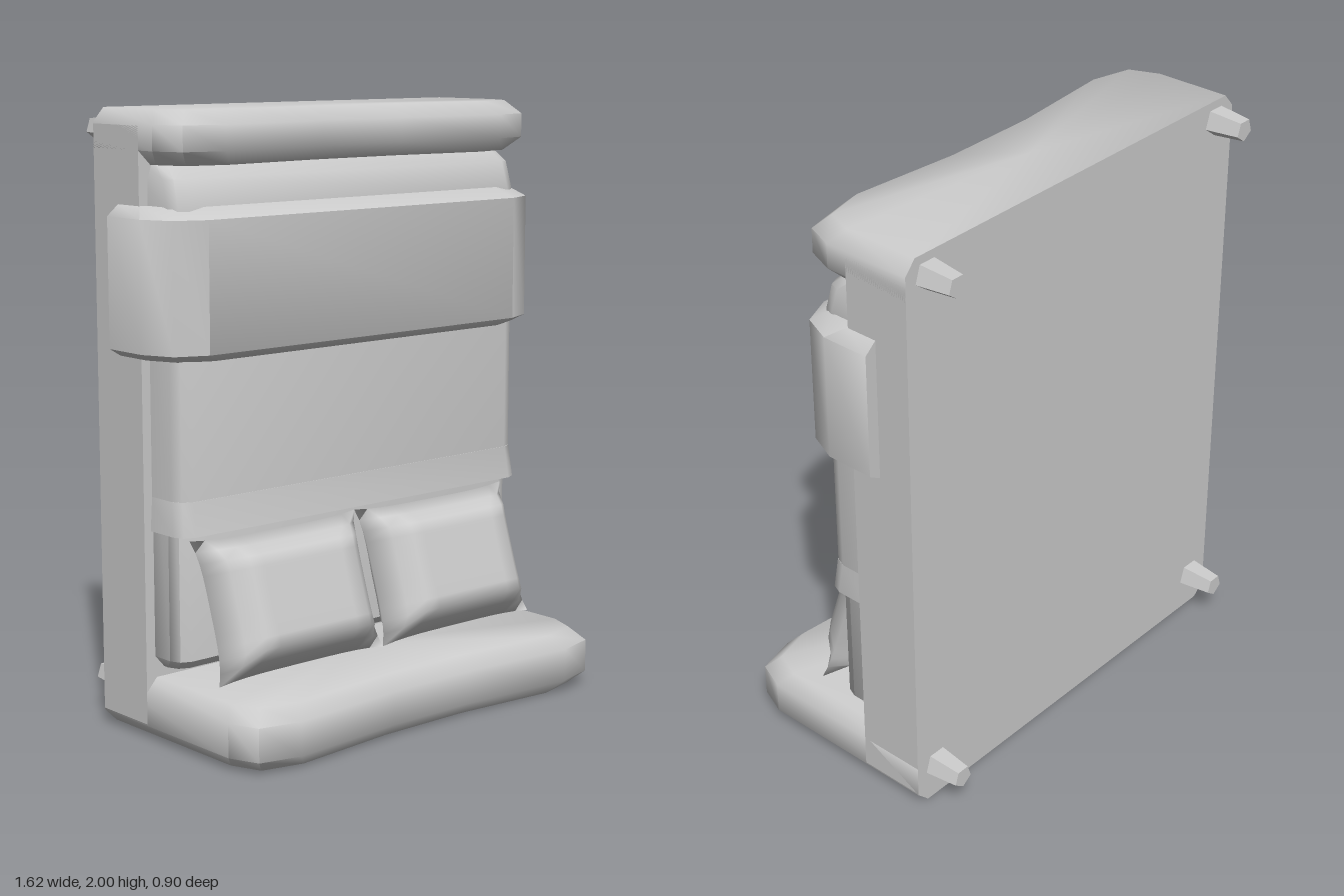
import * as THREE from 'three';
import { mergeVertices, toCreasedNormals } from 'three/addons/utils/BufferGeometryUtils.js';

const material = new THREE.MeshStandardMaterial({ color: 0xcccccc });

// Half outlines (x, z) from the back to the front centre: w half width, f front, b back
const boardOutline = (w, f, b) => [[w, b], [w, f - 0.135], [w - 0.04, f - 0.035], [w - 0.18, f], [0.17, f - 0.035]];
const softOutline = (c) => (w, f, b) => [[w, b], [w, f - c], [w - 0.3 * c, f - 0.3 * c], [w - c, f]];

// Closed solid through mirrored outlines; rows are [y, half width, front z]
function loft(name, outline, back, rows) {
  const rings = rows.map(([y, w, f]) => {
    const half = outline(w, f, back);
    const mirrored = half.map(([x, z]) => [-x, z]).reverse();
    return [...half, ...mirrored].map(([x, z]) => new THREE.Vector3(x, y, z));
  });
  const pos = [];
  const tri = (...pts) => pts.forEach((p) => pos.push(p.x, p.y, p.z));
  const n = rings[0].length;
  const last = rings.length - 1;
  const middle = (k) => new THREE.Vector3(0, rows[k][0], (back + rows[k][2]) / 2);
  for (let i = 0; i < n; i++) {
    const j = (i + 1) % n;
    for (let k = 0; k < last; k++) {
      const a = rings[k][i], b = rings[k][j], c = rings[k + 1][j], d = rings[k + 1][i];
      tri(a, d, c);
      tri(a, c, b);
    }
    tri(middle(0), rings[0][i], rings[0][j]);
    tri(middle(last), rings[last][j], rings[last][i]);
  }
  const geo = new THREE.BufferGeometry();
  geo.setAttribute('position', new THREE.Float32BufferAttribute(pos, 3));
  const mesh = new THREE.Mesh(toCreasedNormals(geo, 0.95), material);
  mesh.name = name;
  return mesh;
}

// Board with chamfered rim
const board = (name, y0, y1, front) => loft(name, boardOutline, -0.335, [
  [y0, 0.725, front - 0.045],
  [y0 + 0.045, 0.77, front],
  [y1 - 0.045, 0.77, front],
  [y1, 0.73, front - 0.045],
]);

// Cushion with a thin seam, pulled-in edges and pointed corners
function pillow(name, x) {
  const geo = new THREE.BoxGeometry(2, 2, 2, 12, 12, 1);
  geo.deleteAttribute('uv');
  geo.deleteAttribute('normal');
  const p = geo.attributes.position;
  for (let i = 0; i < p.count; i++) {
    const s = p.getX(i), t = p.getY(i);
    const rise = Math.min(1, (1 - Math.abs(s)) / 0.32) * Math.min(1, (1 - Math.abs(t)) / 0.34);
    p.setXYZ(
      i,
      s * (0.345 - 0.025 * (1 - t ** 4)),
      t * (0.232 - 0.012 * (1 - s ** 4)),
      p.getZ(i) * 0.117 * Math.pow(rise, 0.75)
    );
  }
  const merged = mergeVertices(geo, 1e-4);
  merged.computeVertexNormals();
  const mesh = new THREE.Mesh(merged, material);
  mesh.name = name;
  mesh.position.set(x, 0.44, 0.1);
  mesh.rotation.x = -0.315;
  return mesh;
}

export function createModel() {
  const group = new THREE.Group();
  group.name = 'bed';

  // Frame and end boards
  const square = (w, f, b) => [[w, b], [w, f]];
  group.add(loft('bedFrame', square, -0.335, [[0.05, 0.77, -0.1], [1.95, 0.77, -0.1]]));
  group.add(board('headboard', 0, 0.2, 0.45));
  group.add(board('footboard', 1.83, 2, 0.108));

  // Bedding
  group.add(loft('mattress', softOutline(0.05), -0.15, [
    [0.23, 0.7, -0.03], [0.27, 0.735, 0.028], [1.72, 0.735, 0.028], [1.8, 0.71, -0.03],
  ]));
  group.add(loft('blanket', softOutline(0.05), -0.15, [
    [0.74, 0.738, 0.05], [1.7, 0.738, 0.05], [1.79, 0.735, 0.025], [1.835, 0.72, -0.03],
  ]));
  group.add(loft('blanketFold', softOutline(0.05), -0.12, [
    [0.68, 0.745, 0.066], [0.79, 0.738, 0.052],
  ]));
  group.add(loft('throwBlanket', softOutline(0.15), -0.21, [
    [1.23, 0.77, 0.075], [1.255, 0.812, 0.108], [1.67, 0.812, 0.108], [1.705, 0.77, 0.055],
  ]));

  // Pillows
  group.add(pillow('leftPillow', 0.345), pillow('rightPillow', -0.345));

  // Tapered five-sided legs
  const legGeo = new THREE.CylinderGeometry(0.053, 0.038, 0.13, 5);
  legGeo.rotateX(Math.PI / 2);
  const legMaterial = new THREE.MeshStandardMaterial({ color: 0xcccccc, flatShading: true });
  for (const x of [-0.68, 0.68]) {
    for (const y of [0.13, 1.93]) {
      const leg = new THREE.Mesh(legGeo, legMaterial);
      leg.name = 'leg';
      leg.position.set(x, y, -0.385);
      group.add(leg);
    }
  }
  return group;
}
